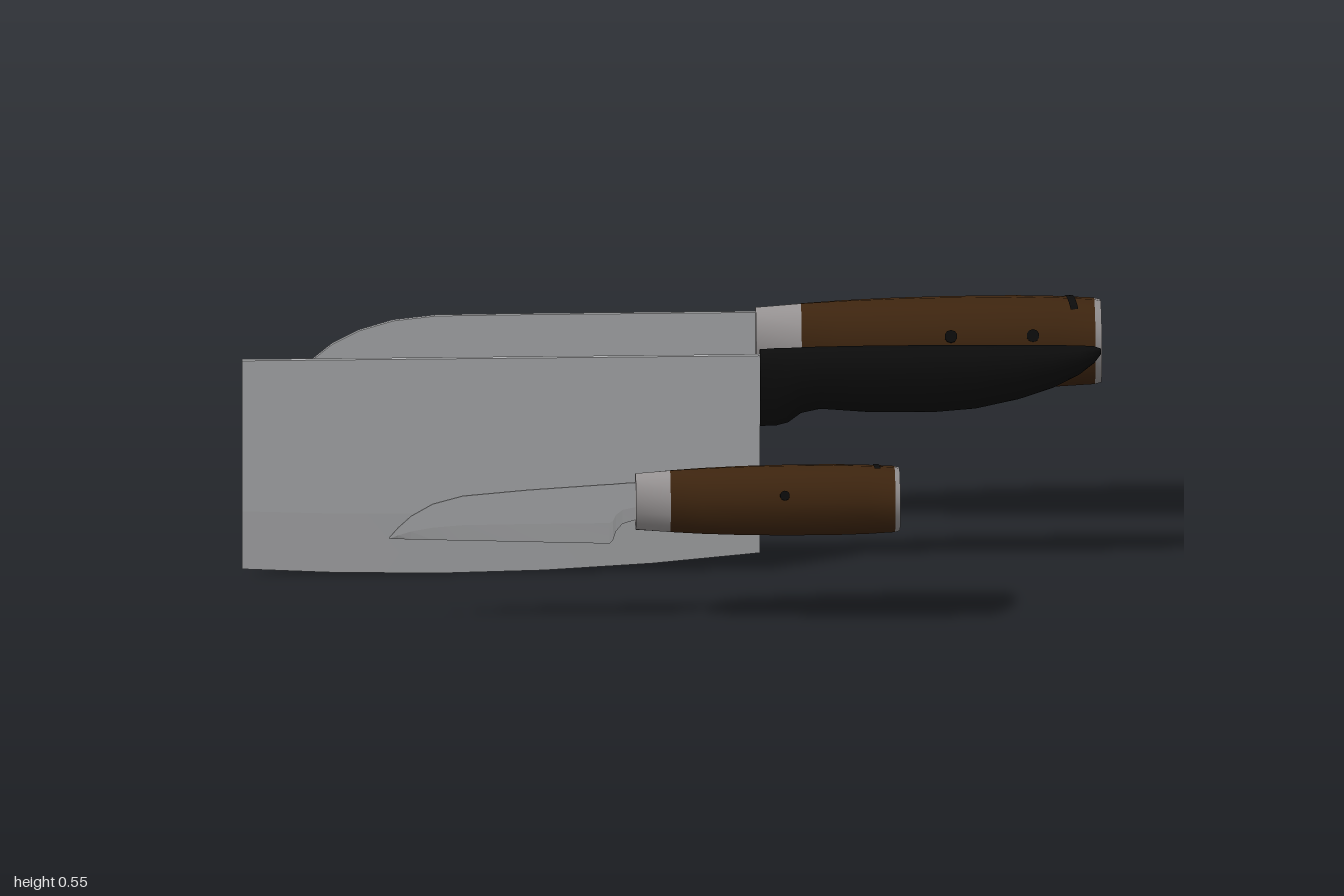
import * as THREE from 'three';
import { toCreasedNormals } from 'three/addons/utils/BufferGeometryUtils.js';

const mat = (name, color) => {
  const m = new THREE.MeshStandardMaterial({ color });
  m.name = name;
  return m;
};

// Skin a list of rings (running along +x) and close both ends
function loft(rings, crease) {
  const n = rings[0].length, last = (rings.length - 1) * n, index = [];
  for (let i = 0; i < rings.length - 1; i++) {
    for (let j = 0; j < n; j++) {
      const a = i * n + j, c = i * n + (j + 1) % n;
      index.push(a, a + n, c, a + n, c + n, c);
    }
  }
  for (let j = 1; j < n - 1; j++) {
    index.push(0, j, j + 1, last, last + j + 1, last + j);
  }
  const g = new THREE.BufferGeometry();
  g.setAttribute('position', new THREE.Float32BufferAttribute(rings.flat(2), 3));
  g.setIndex(index);
  return toCreasedNormals(g, crease);
}

// Oval cross-section; lean > 0 makes it narrower below
function oval(x, cy, ry, rz, sides, lean = 0) {
  return Array.from({ length: sides }, (_, j) => {
    const a = (j + 0.5) / sides * Math.PI * 2;
    return [x, cy + ry * Math.sin(a), rz * Math.cos(a) * (1 + lean * Math.sin(a))];
  });
}

// Blade from stations [x, edge y, spine y], flat-sided with a bevelled edge
function bladeGeometry(stations, half, bevel) {
  return loft(stations.map(([x, e, s]) => {
    const b = e + (s - e) * bevel;
    return [[x, e, 0], [x, b, half], [x, s, half], [x, s, -half], [x, b, -half]];
  }), 0.03);
}

export function createModel() {
  const steel = mat('blade steel', 0xb2b3b5);
  const fitting = mat('fitting metal', 0x999595);
  const wood = mat('dark wood', 0x3f2610);
  const black = mat('black', 0x0c0c0c);
  const model = new THREE.Group();

  const add = (parent, name, geometry, material) => {
    const mesh = new THREE.Mesh(geometry, material);
    mesh.name = name;
    parent.add(mesh);
    return mesh;
  };
  const knife = (name, z) => {
    const g = new THREE.Group();
    g.name = name;
    g.position.z = z;
    model.add(g);
    return g;
  };

  // Round wooden handle with ferrule, end cap and dark pins: [x, ry, rz]
  const profile = [
    [0, 0.09, 0.056], [0.105, 0.098, 0.071],
    [0.2, 0.103, 0.084], [0.32, 0.107, 0.095], [0.45, 0.109, 0.101],
    [0.6, 0.109, 0.104], [0.7, 0.106, 0.104], [0.785, 0.101, 0.102], [0.8, 0.097, 0.099],
  ];
  function woodHandle(parent, x, y, s, pins, slotArc) {
    const h = new THREE.Group();
    h.name = 'handle';
    h.position.set(x, y, 0);
    h.scale.setScalar(s);
    parent.add(h);
    const part = (name, from, to, m) => add(h, name,
      loft(profile.slice(from, to + 1).map(([px, ry, rz]) => oval(px, 0, ry, rz, 14)), 0.6), m);
    part('ferrule', 0, 1, fitting);
    part('grip', 1, 7, wood);
    part('endCap', 7, 8, fitting);
    for (const px of pins) {
      const pin = add(h, 'pin', new THREE.CylinderGeometry(0.015, 0.015, 0.009, 10), black);
      pin.position.set(px, 0.044, 0.091);
      pin.rotation.x = Math.PI / 2 - 0.43;
    }
    // Slot mark curved over the top of the grip
    const arc = new THREE.CylinderGeometry(1, 1, 0.018, 8, 1, true, -slotArc / 2, slotArc);
    arc.rotateX(-Math.PI / 2).rotateY(Math.PI / 2).scale(1, 0.107, 0.105);
    const slot = add(h, 'slotMark', arc, black);
    slot.position.x = 0.73;
    slot.rotation.y = 0.15;
  }

  // Cleaver
  const cleaver = knife('cleaver', -0.015);
  add(cleaver, 'cleaverBlade', bladeGeometry([
    [-1, 0.015, 0.525], [-0.8, 0.005, 0.525], [-0.55, 0, 0.525], [-0.3, 0.005, 0.525],
    [-0.05, 0.019, 0.525], [0.2, 0.042, 0.525],
  ], 0.006, 0.28), steel);
  // Stations: [x, bottom y, top y, half width]
  const grip = [
    [0.2, 0.352, 0.538, 0.034], [0.235, 0.352, 0.54, 0.037], [0.265, 0.36, 0.54, 0.039],
    [0.295, 0.383, 0.541, 0.041], [0.34, 0.393, 0.542, 0.043], [0.45, 0.384, 0.543, 0.045],
    [0.6, 0.382, 0.543, 0.046], [0.7, 0.39, 0.542, 0.045], [0.8, 0.412, 0.541, 0.042],
    [0.88, 0.439, 0.54, 0.036], [0.94, 0.47, 0.539, 0.028], [0.975, 0.498, 0.537, 0.018],
    [0.99, 0.518, 0.532, 0.008],
  ];
  add(cleaver, 'cleaverHandle', loft(grip.map(([x, b, t, w]) =>
    oval(x, (b + t) / 2, (t - b) / 2, w, 16, 0.2)), 0.9), black);

  // Large chef's knife
  const chef = knife('chefKnife', -0.335);
  add(chef, 'chefBlade', bladeGeometry([
    [-0.89, 0.322, 0.332], [-0.875, 0.312, 0.365], [-0.84, 0.296, 0.408], [-0.78, 0.278, 0.457],
    [-0.72, 0.265, 0.488], [-0.64, 0.253, 0.512], [-0.54, 0.244, 0.523], [-0.34, 0.236, 0.524],
    [-0.1, 0.232, 0.524], [0.2, 0.232, 0.524],
  ], 0.005, 0.35), steel);
  woodHandle(chef, 0.2, 0.445, 1, [0.45, 0.64], 1);

  // Small paring knife
  const paring = knife('paringKnife', 0.357);
  add(paring, 'paringBlade', bladeGeometry([
    [-0.67, 0.208, 0.213], [-0.65, 0.208, 0.236], [-0.62, 0.207, 0.264], [-0.57, 0.205, 0.293],
    [-0.5, 0.203, 0.312], [-0.35, 0.198, 0.325], [-0.16, 0.192, 0.337], [-0.152, 0.2, 0.337],
    [-0.145, 0.222, 0.338], [-0.13, 0.24, 0.339], [-0.09, 0.252, 0.341],
  ], 0.0022, 0.35), steel);
  woodHandle(paring, -0.1, 0.294, 0.765, [0.45], 0.4);

  return model;
}
